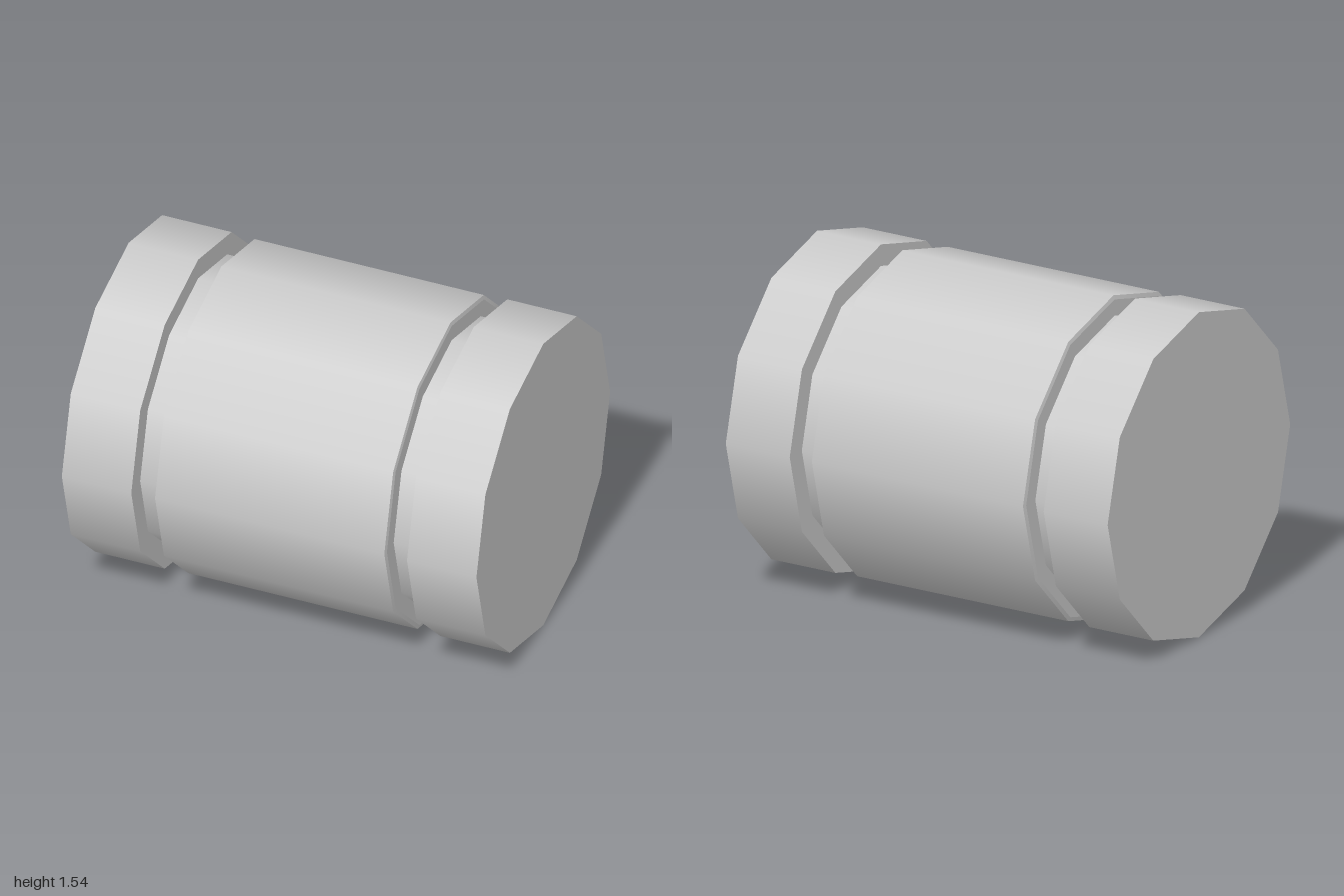
import * as THREE from 'three';

const SIDES = 12;
const AXIS_Y = 0.77;
const material = new THREE.MeshStandardMaterial({ color: 0xcccccc });

// A twelve-sided drum section along x, from x0 (radius r0) to x1 (radius r1)
function section(name, x0, x1, r0, r1 = r0, open = false) {
  const geometry = new THREE.CylinderGeometry(r1, r0, x1 - x0, SIDES, 1, open);
  geometry.rotateZ(-Math.PI / 2);
  const mesh = new THREE.Mesh(geometry, material);
  mesh.name = name;
  mesh.position.set((x0 + x1) / 2, AXIS_Y, 0);
  return mesh;
}

export function createModel() {
  const model = new THREE.Group();
  model.name = 'drum';

  // Central barrel with slightly eased ends
  const barrel = new THREE.Group();
  barrel.name = 'barrel';
  barrel.add(
    section('barrelBody', -0.553, 0.553, 0.764, 0.764, true),
    section('rightBarrelBevel', -0.558, -0.553, 0.745, 0.764),
    section('leftBarrelBevel', 0.553, 0.558, 0.764, 0.745),
  );
  model.add(barrel);

  // Recessed necks and end caps
  model.add(
    section('rightNeck', -0.665, -0.558, 0.668, 0.668, true),
    section('leftNeck', 0.558, 0.665, 0.668, 0.668, true),
    section('rightEndCap', -1, -0.665, 0.77),
    section('leftEndCap', 0.665, 1, 0.77),
  );
  return model;
}
